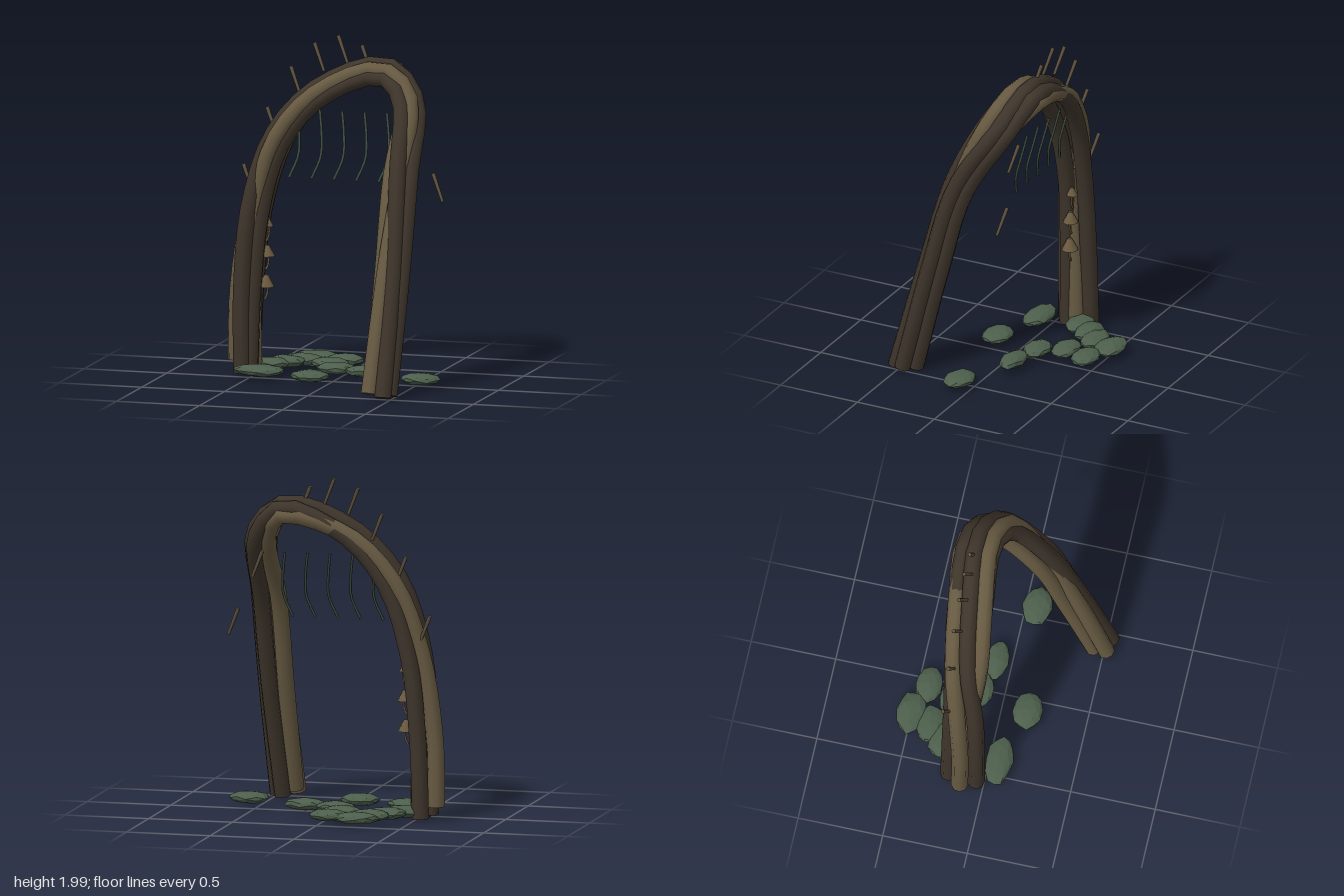
import * as THREE from 'three';

const V = (x, y, z) => new THREE.Vector3(x, y, z);
const mat = (name, color, extra = {}) => {
  const m = new THREE.MeshStandardMaterial({ color, ...extra });
  m.name = name;
  return m;
};

export function createModel() {
  const model = new THREE.Group();
  model.name = 'rootArch';
  const darkBark = mat('darkBark', 0x3e352b);
  const paleBark = mat('paleBark', 0x675a42);
  const thornWood = mat('thornWood', 0x5f523e);
  const vineGreen = mat('vineGreen', 0x3d4f42);
  const mossStone = mat('mossStone', 0x4d5f4c, { flatShading: true });
  const fungus = mat('fungus', 0x6b5a40, { side: THREE.DoubleSide });

  const add = (name, geometry, material, parent = model) => {
    const mesh = new THREE.Mesh(geometry, material);
    mesh.name = name;
    parent.add(mesh);
    return mesh;
  };
  const group = (name) => {
    const g = new THREE.Group();
    g.name = name;
    model.add(g);
    return g;
  };

  // Centre line of the arch, with the half spread of the strands across it
  const spine = [
    V(-0.565, 0.02, -0.13), V(-0.555, 0.5, -0.13), V(-0.495, 1.0, -0.135),
    V(-0.36, 1.4, -0.15), V(-0.12, 1.665, -0.175), V(0.255, 1.8, -0.205),
    V(0.41, 1.66, -0.12), V(0.443, 1.25, 0.11), V(0.443, 0.7, 0.28), V(0.425, 0.03, 0.475),
  ];
  const spreadOut = [0.055, 0.055, 0.045, 0.045, 0.045, 0.045, 0.05, 0.06, 0.062, 0.06];
  const spreadDeep = [0.085, 0.088, 0.09, 0.09, 0.088, 0.088, 0.08, 0.058, 0.055, 0.068];

  // Entwined strands: angle around the spine at each station (0 outward, 90 front)
  // and distance from the spine relative to the spread
  const full = Array(10).fill(1);
  const strands = [
    { name: 'paleOuterStrand', m: paleBark, lift: 0.07, k: full, a: [0, 0, -20, -50, -72, -110, -145, -170, -165, -150] },
    { name: 'paleInnerStrand', m: paleBark, lift: 0.03, k: [0.9, 0.7, 0.5, 0.95, 1, 1, 1, 0.45, 1, 1], a: [185, 175, 110, 78, 64, 50, 42, 75, 118, 142] },
    { name: 'darkFrontStrand', m: darkBark, lift: 0.01, k: full, a: [95, 82, 52, 12, -2, -8, -15, 10, 12, 0] },
    { name: 'darkInnerStrand', m: darkBark, lift: 0, k: full, a: [140, 150, 155, 140, 120, 105, 105, 92, 70, 52] },
    { name: 'darkBackStrand', m: darkBark, lift: 0.01, k: full, a: [-110, -120, -125, -118, -92, -55, -65, -55, -62, -75] },
  ];
  const arch = group('archStrands');
  for (const s of strands) {
    const pts = spine.map((c, i) => {
      const t = spine[Math.min(i + 1, 9)].clone().sub(spine[Math.max(i - 1, 0)]).normalize();
      const deep = V(0, 0, 1).addScaledVector(t, -t.z).normalize();
      const out = deep.clone().cross(t);
      const a = THREE.MathUtils.degToRad(s.a[i]);
      return c.clone()
        .addScaledVector(out, Math.cos(a) * spreadOut[i] * s.k[i])
        .addScaledVector(deep, Math.sin(a) * spreadDeep[i] * s.k[i]);
    });
    pts[0].y += s.lift;
    pts[9].y = 0.025 + s.lift * 0.6;
    const curve = new THREE.CatmullRomCurve3(pts);
    const r = 0.05;
    add(s.name, new THREE.TubeGeometry(curve, 36, r, 9), s.m, arch);
    // Cut ends
    for (const u of [0, 1]) {
      const cap = add(s.name + 'End', new THREE.CircleGeometry(r, 9), s.m, arch);
      const p = curve.getPoint(u);
      cap.position.copy(p);
      cap.lookAt(p.clone().addScaledVector(curve.getTangent(u), u ? 1 : -1));
    }
  }

  // Slanted thorns following the arch shape symmetrically
  const thorns = group('thorns');
  const slant = V(0.066, -0.155, 0.032).normalize();
  const thornHeights = [1.14, 1.48, 1.725, 1.87, 1.92];
  for (let i = 0; i < 9; i++) {
    const thorn = add('thorn', new THREE.CylinderGeometry(0.012, 0.009, 0.175, 6), thornWood, thorns);
    thorn.position.set(-0.575 + i * 0.143, thornHeights[Math.min(i, 8 - i)], -0.216);
    thorn.quaternion.setFromUnitVectors(V(0, -1, 0), slant);
  }

  // Hanging vines
  const vines = group('hangingVines');
  for (let i = 0; i < 5; i++) {
    const x = -0.28 + i * 0.135;
    const path = new THREE.CatmullRomCurve3([
      V(x, 1.56, -0.22), V(x + 0.02, 1.42, -0.19), V(x + 0.024, 1.3, -0.16), V(x - 0.025, 1.17, -0.135),
    ]);
    add('vine', new THREE.TubeGeometry(path, 10, 0.008, 5), vineGreen, vines);
  }

  // Small cone-capped fungi on the inner side of the leg
  const fungi = group('fungi');
  for (const [x, y, z, r] of [
    [-0.44, 0.56, -0.13, 0.05], [-0.435, 0.735, -0.137, 0.046],
    [-0.435, 0.9, -0.147, 0.034], [-0.5, 1.06, -0.13, 0.04],
  ]) {
    const cap = add('fungusCap', new THREE.CylinderGeometry(r * 0.25, r, r * 1.4, 8), fungus, fungi);
    cap.position.set(x, y, z);
    const stem = new THREE.QuadraticBezierCurve3(
      V(x, y, z), V(x + 0.02, y - 0.07, z), V(x - 0.01, y - 0.11, z));
    add('fungusStem', new THREE.TubeGeometry(stem, 6, 0.007, 5), fungus, fungi);
  }

  // Flat mossy stones: x, z, half width, half depth
  const stones = group('stones');
  [
    [-0.245, -0.5, 0.135, 0.09], [-0.055, -0.435, 0.118, 0.082], [-0.29, -0.375, 0.122, 0.082],
    [-0.37, -0.29, 0.12, 0.08], [-0.1, -0.285, 0.12, 0.08], [-0.44, -0.2, 0.12, 0.08],
    [-0.425, 0.06, 0.16, 0.082], [-0.09, 0.155, 0.12, 0.09], [0.175, -0.085, 0.13, 0.072],
    [0.55, 0.07, 0.122, 0.09], [-0.02, -0.14, 0.12, 0.08],
  ].forEach(([x, z, w, d], i) => {
    const g = new THREE.IcosahedronGeometry(1, 1);
    const p = g.attributes.position;
    for (let k = 0; k < p.count; k++) {
      const v = V().fromBufferAttribute(p, k);
      const n = 0.97 + 0.06 * Math.sin(v.x * 5 + i) * Math.cos(v.z * 6 + i * 2 + v.y * 3);
      p.setXYZ(k, v.x * n, v.y * n, v.z * n);
    }
    g.rotateY(i * 0.7);
    g.scale(w, 0.037, d);
    g.computeVertexNormals();
    add('stone', g, mossStone, stones).position.set(x, 0.067, z);
  });

  return model;
}
